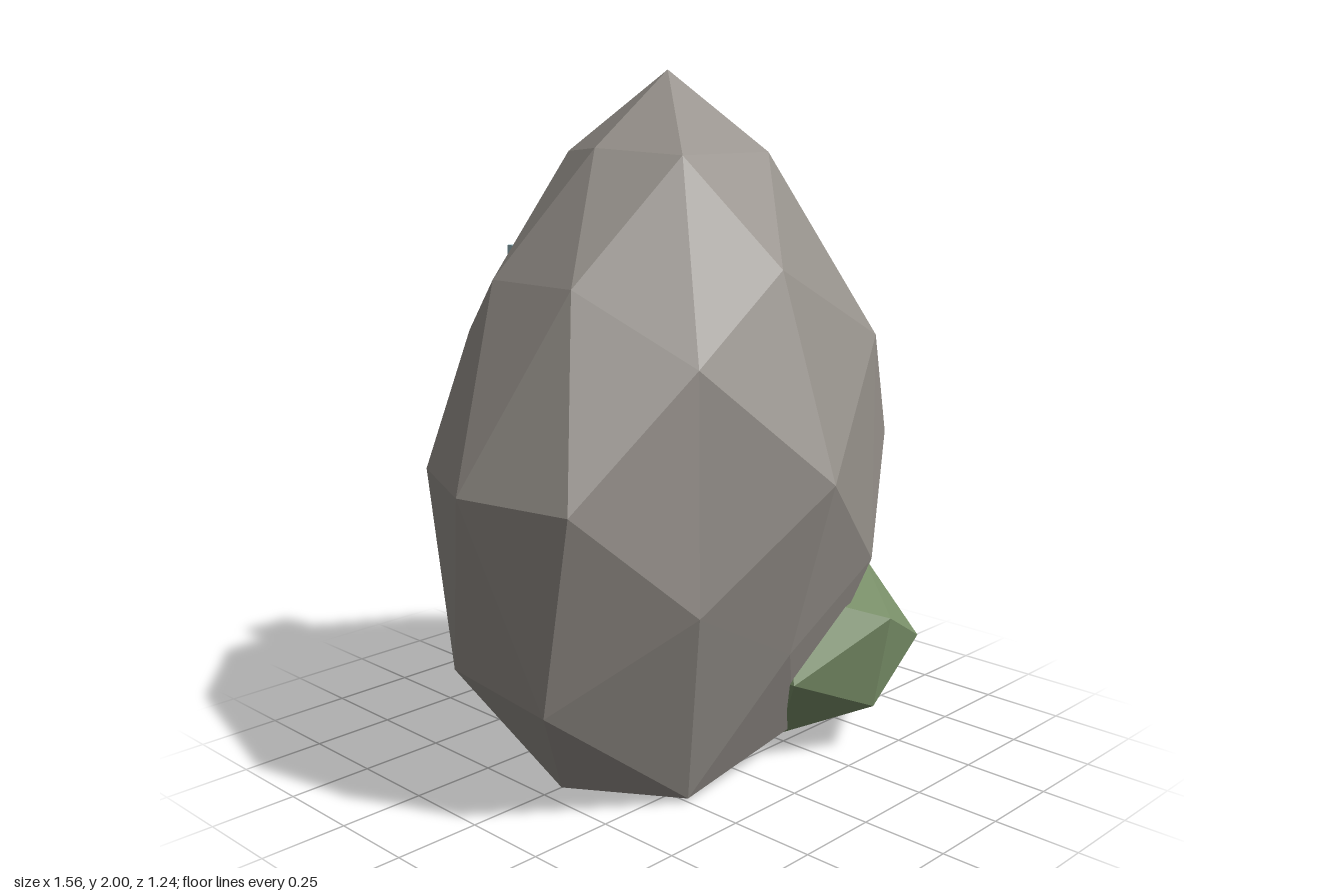
import * as THREE from 'three';

const mat = (name, color, flat = true) => {
  const m = new THREE.MeshStandardMaterial({ color, flatShading: flat });
  m.name = name;
  return m;
};

// Faceted lump: an icosahedron whose corners are pushed in or out, then shaped by a rule.
// bumps: [x, y, z, factor], matched to the corner lying in that direction.
function lump(detail, bumps, shape) {
  const geo = new THREE.IcosahedronGeometry(1, detail);
  const pos = geo.attributes.position;
  const v = new THREE.Vector3();
  for (let i = 0; i < pos.count; i++) {
    v.fromBufferAttribute(pos, i);
    const hit = bumps.find(([x, y, z]) => Math.hypot(v.x - x, v.y - y, v.z - z) < 0.1);
    shape(v, hit ? hit[3] : 1);
    pos.setXYZ(i, v.x, v.y, v.z);
  }
  geo.deleteAttribute('uv');
  geo.computeVertexNormals();
  return geo;
}

export function createModel() {
  const group = new THREE.Group();
  const stone = mat('stone grey', 0x96918b);
  const moss = mat('moss green', 0x7a9069);
  const teal = mat('pale teal', 0x9abac2);
  const lilac = mat('lilac', 0xb09ac4);

  const add = (name, geo, material, x, y, z) => {
    const mesh = new THREE.Mesh(geo, material);
    mesh.name = name;
    mesh.position.set(x, y, z);
    group.add(mesh);
  };

  // Boulder: egg shape, narrowing to a peak and flattened underneath
  const bumps = [
    [0.85, 0, 0.53, 0.96], [-0.85, 0, 0.53, 1.07],
    [0.85, 0, -0.53, 1.08], [-0.85, 0, -0.53, 0.96],
    [0, 0.53, 0.85, 0.98], [0, 0.53, -0.85, 1.04],
    [0.5, 0.31, 0.81, 1.04], [0.5, 0.31, -0.81, 1.04], [-0.5, 0.31, -0.81, 1.02],
    [0, -0.53, 0.85, 0.9], [0, -0.53, -0.85, 0.98],
    [-0.81, -0.5, 0.31, 1.07], [-0.81, -0.5, -0.31, 1.03],
    [-0.31, -0.81, 0.5, 1.04], [0.31, -0.81, 0.5, 0.97],
    [-0.53, -0.85, 0, 1.06], [0.53, -0.85, 0, 0.93],
  ];
  for (const s of [1, -1]) {
    bumps.push([s * 0.53, 0.85, 0, 0.95]);
    for (const t of [1, -1]) {
      bumps.push([s * 0.31, 0.81, t * 0.5, 0.98]);
      bumps.push([s * 0.81, 0.5, t * 0.31, 0.975]);
      bumps.push([s * 0.5, -0.31, t * 0.81, 0.945]);
    }
  }
  const boulder = lump(1, bumps, (v, f) => {
    const taper = 1 - 0.33 * Math.max(v.y, 0);
    v.set(0.78 * v.x * taper * f, Math.max(1.08 * v.y * f, -0.92), 0.62 * v.z * taper * f);
  });
  add('boulder', boulder, stone, 0, 0.92, 0);

  // Moss clump at the front left foot
  const clump = lump(0, [
    [0.53, 0.85, 0, 1.15], [0.53, -0.85, 0, 0.85], [-0.53, -0.85, 0, 0.99],
    [0, 0.53, 0.85, 1.15], [0, -0.53, 0.85, 0.92],
    [0.85, 0, 0.53, 1.06], [0, -0.53, -0.85, 0.9],
  ], (v, f) => v.set(0.34 * v.x * f, 0.265 * v.y * f, 0.27 * v.z * f));
  add('mossClump', clump, moss, 0.375, 0.275, 0.28);

  // Column of alternating blocks on the back
  const block = new THREE.BoxGeometry(0.18, 0.15, 0.075);
  for (let i = 0; i < 4; i++) {
    add('backBlock' + (i + 1), block, i % 2 ? teal : lilac, 0, 0.46 + i * 0.315, -0.5625);
  }
  return group;
}
